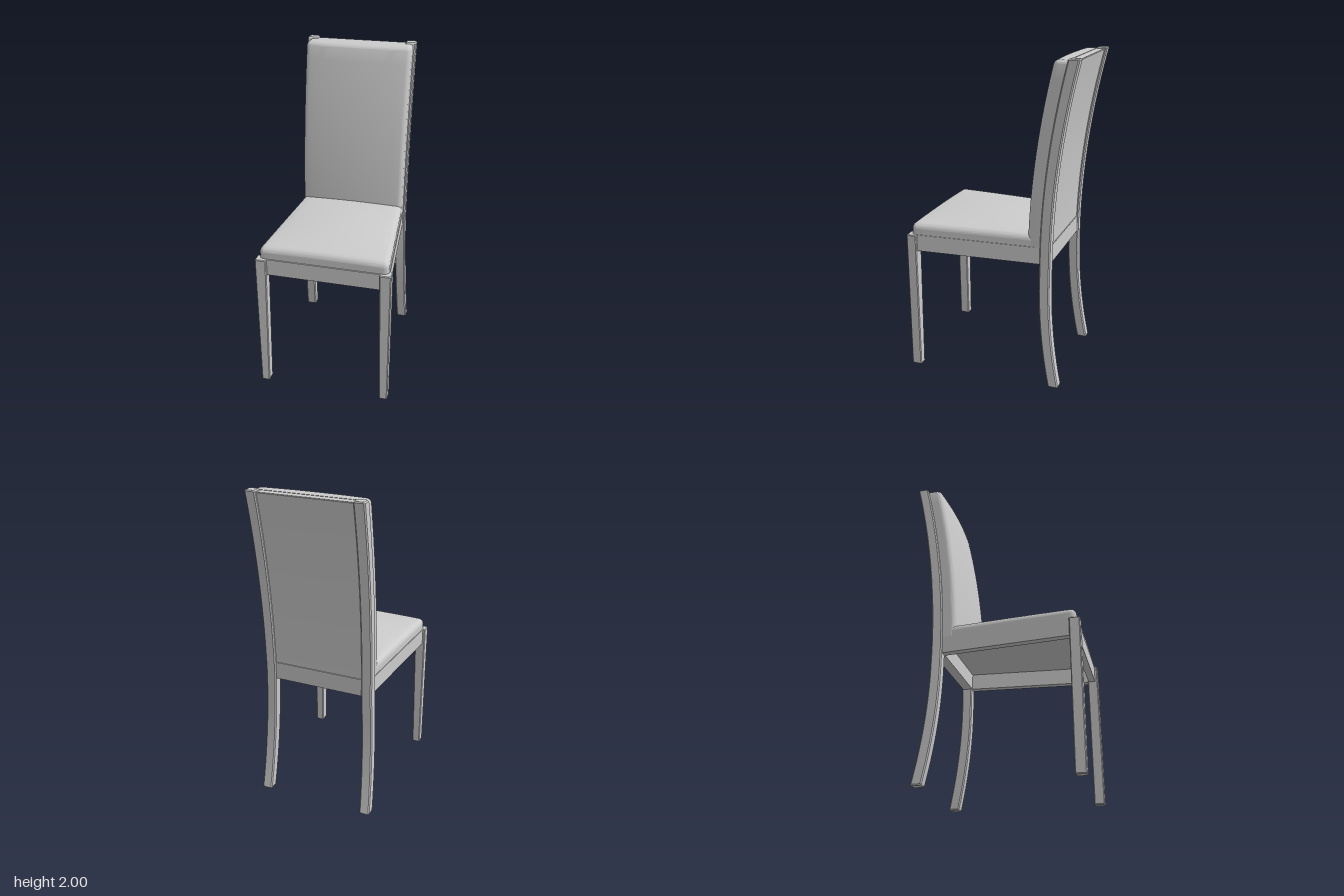
import * as THREE from 'three';
import { mergeVertices, toCreasedNormals } from 'three/addons/utils/BufferGeometryUtils.js';

const material = new THREE.MeshStandardMaterial({ color: 0xcccccc });

// Curves shared by the back legs and the backrest
const backZ = (y) => (y > 0.8 ? -0.38 - 0.1 * (y - 0.8) ** 2 : -0.38 - 0.155 * Math.max(0, 0.7 - y) ** 2);
const LEG = 0.065;
const frontZ = (y) => backZ(y) + LEG;
// Half width of the tapering seat
const seatHalf = (z) => 0.335 + (z + 0.25) * 0.08;

// Vertical bar with chamfered edges; section(y) gives [x0, x1, z0, z1]
function bar(y0, y1, steps, c, section) {
  const pos = [], index = [];
  const ring = (y, [x0, x1, z0, z1], inset) => {
    const a = x0 + inset, b = x1 - inset, d = z0 + inset, e = z1 - inset;
    [[a + c, e], [b - c, e], [b, e - c], [b, d + c], [b - c, d], [a + c, d], [a, d + c], [a, e - c]]
      .forEach(([x, z]) => pos.push(x, y, z));
  };
  ring(y0, section(y0), c * 0.8);
  for (let i = 0; i <= steps; i++) {
    const y = y0 + c + ((y1 - y0 - 2 * c) * i) / steps;
    ring(y, section(y), 0);
  }
  ring(y1, section(y1), c * 0.8);
  const rings = steps + 3;
  for (let r = 0; r < rings - 1; r++) {
    for (let i = 0; i < 8; i++) {
      const a = r * 8 + i, b = r * 8 + ((i + 1) % 8);
      index.push(a, b, b + 8, a, b + 8, a + 8);
    }
  }
  const top = (rings - 1) * 8;
  for (let i = 1; i < 7; i++) index.push(0, i + 1, i, top, top + i, top + i + 1);
  const g = new THREE.BufferGeometry();
  g.setAttribute('position', new THREE.Float32BufferAttribute(pos, 3));
  g.setIndex(index);
  return toCreasedNormals(g, 0.5);
}

// Padded box, rounded at the sides, top and front, then bent by warp(p)
function cushion(hx, hy, hz, r, warp) {
  const half = 12, round = 5, flat = half - round;
  let g = new THREE.BoxGeometry(2, 2, 2, half * 2, half * 2, half * 2);
  g.deleteAttribute('normal');
  g.deleteAttribute('uv');
  g = mergeVertices(g);
  const spread = (t, h) => {
    const k = Math.abs(t) * half;
    return Math.sign(t) * (k <= flat ? (k / flat) * (h - r) : h - r + (r * (k - flat)) / round);
  };
  const p = new THREE.Vector3(), q = new THREE.Vector3(), pos = g.attributes.position;
  for (let i = 0; i < pos.count; i++) {
    p.fromBufferAttribute(pos, i);
    p.set(spread(p.x, hx), spread(p.y, hy), spread(p.z, hz));
    q.set(THREE.MathUtils.clamp(p.x, r - hx, hx - r), Math.min(p.y, hy - r), Math.min(p.z, hz - r));
    p.sub(q);
    const len = p.length();
    if (len > 0) p.multiplyScalar(Math.max(Math.abs(p.x), p.y, p.z) / len);
    p.add(q);
    warp(p);
    pos.setXYZ(i, p.x, p.y, p.z);
  }
  return toCreasedNormals(g, 0.7);
}

// Upright prism from a plan outline of [x, z] points
function prism(points, y0, y1) {
  const shape = new THREE.Shape(points.map(([x, z]) => new THREE.Vector2(x, -z)));
  const g = new THREE.ExtrudeGeometry(shape, { depth: y1 - y0, bevelEnabled: false });
  return g.rotateX(-Math.PI / 2).translate(0, y0, 0);
}

export function createModel() {
  const group = new THREE.Group();
  const add = (name, geometry) => {
    const mesh = new THREE.Mesh(geometry, material);
    mesh.name = name;
    group.add(mesh);
  };

  for (const [side, s] of [['left', 1], ['right', -1]]) {
    const span = (a, b) => (s > 0 ? [a, b] : [-b, -a]);

    // Front leg, tapering on its inner face
    add(side + 'FrontLeg', bar(0, 0.9, 1, 0.005, (y) => [...span(0.36 - 0.018 * (y / 0.9), 0.412), 0.46, 0.524]));

    // Curved back leg running up into the backrest post
    add(side + 'BackLeg', bar(0, 2, 32, 0.007, (y) => {
      const x = 0.316 + 0.0275 * Math.max(0, 1 - y / 0.8);
      return [...span(x - 0.033, x + 0.033), backZ(y), frontZ(y)];
    }));

    // Slanted side rail
    const edge = (z, inset) => [s * (seatHalf(z) + 0.004 - inset), z];
    add(side + 'Rail', prism([edge(0.48, 0), edge(-0.33, 0), edge(-0.33, 0.045), edge(0.48, 0.045)], 0.795, 0.9));
  }

  // Front and back rails
  add('frontRail', prism([[-0.36, 0.507], [0.36, 0.507], [0.36, 0.465], [-0.36, 0.465]], 0.795, 0.9));
  add('backRail', prism([[-0.3, -0.31], [0.3, -0.31], [0.3, -0.372], [-0.3, -0.372]], 0.795, 0.905));

  // Crowned, tapering seat cushion
  add('seatCushion', cushion(0.395, 0.037, 0.41, 0.035, (p) => {
    const lift = (p.y + 0.037) / 0.074;
    const crown = 0.028 * (1 - (p.x / 0.395) ** 2) * (1 - (p.z / 0.41) ** 2 * 0.8);
    p.z += 0.09;
    p.x *= seatHalf(p.z) / 0.395;
    p.y += 0.934 + crown * lift;
  }));

  // Backrest cushion following the curve of the posts
  add('backCushion', cushion(0.335, 0.547, 0.04, 0.028, (p) => {
    const bulge = 0.02 * (1 - (p.x / 0.335) ** 2) * ((p.z + 0.04) / 0.08);
    p.y += 1.445;
    p.z += frontZ(p.y) + 0.04 + bulge;
  }));

  // Panel closing the back between the posts
  add('backPanel', bar(0.9, 1.99, 20, 0.004, (y) => [-0.3, 0.3, backZ(y) + 0.014, frontZ(y) + 0.012]));

  return group;
}
